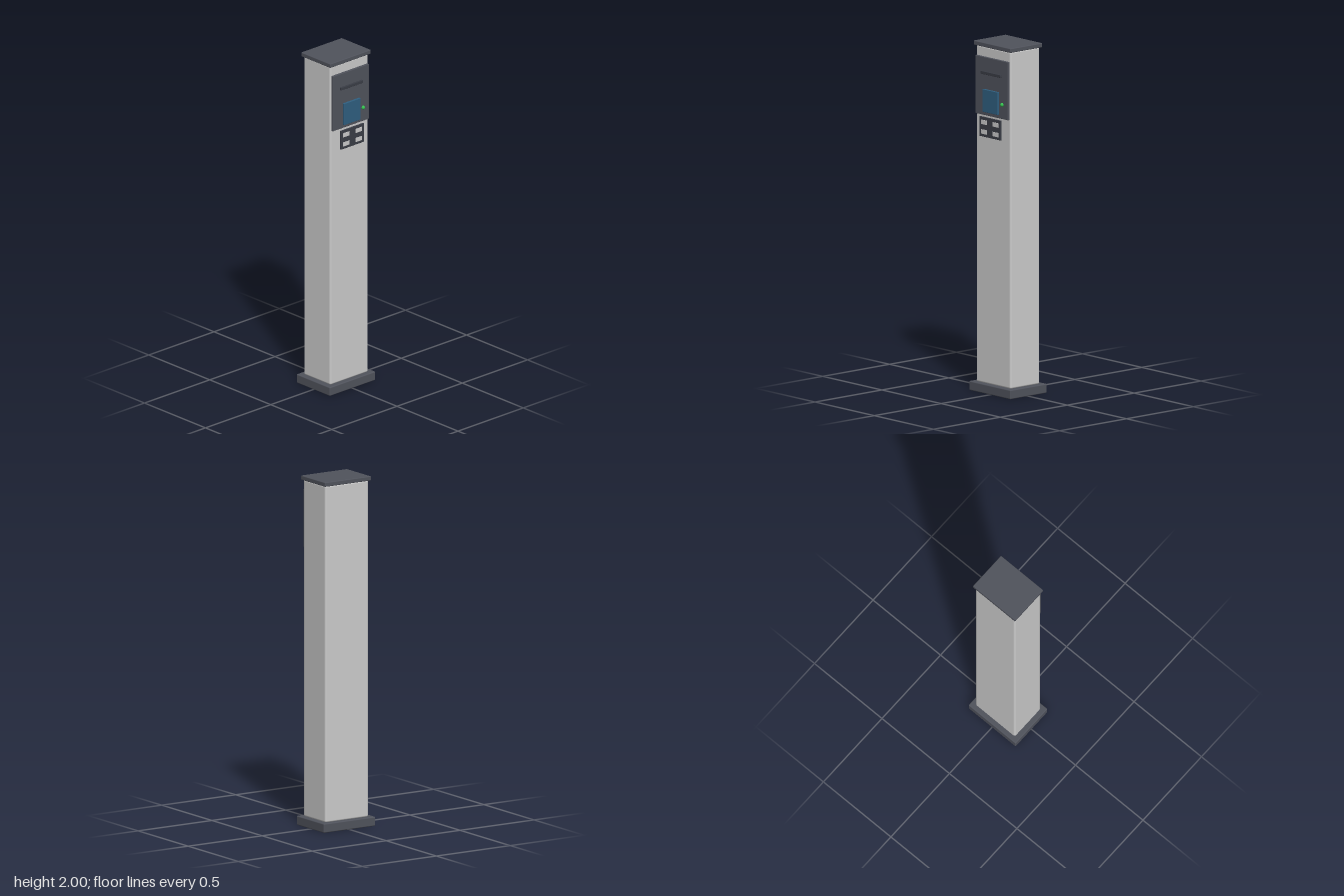
import * as THREE from 'three';
import { RoundedBoxGeometry } from 'three/addons/geometries/RoundedBoxGeometry.js';

const paint = (color) => new THREE.MeshStandardMaterial({ color });

export function createModel() {
  const group = new THREE.Group();
  const grey = paint(0xcccccc);
  const dark = paint(0x50535c);
  const darker = paint(0x3a3d46);
  const blue = paint(0x2f5f80);
  const green = paint(0x35c04f);

  // Rounded box given by its x centre and its y and z extents
  function block(name, material, width, [y0, y1], [z0, z1], radius, x = 0) {
    const geometry = new RoundedBoxGeometry(width, y1 - y0, z1 - z0, 3, radius);
    const mesh = new THREE.Mesh(geometry, material);
    mesh.name = name;
    mesh.position.set(x, (y0 + y1) / 2, (z0 + z1) / 2);
    group.add(mesh);
    return mesh;
  }

  // Post
  block('base', dark, 0.35, [0, 0.053], [-0.137, 0.137], 0.006);
  block('column', grey, 0.292, [0.05, 1.978], [-0.11, 0.11], 0.011);
  block('cap', dark, 0.312, [1.975, 2], [-0.12, 0.12], 0.004);

  // Front panel with slot and screen
  block('frontPanel', dark, 0.276, [1.588, 1.92], [0.108, 0.123], 0.003);
  block('slot', darker, 0.168, [1.823, 1.84], [0.118, 0.133], 0.002);
  block('screen', blue, 0.126, [1.608, 1.738], [0.12, 0.135], 0.002);

  // Indicator light
  const light = new THREE.Mesh(new THREE.SphereGeometry(0.011, 20, 14), green);
  light.name = 'indicatorLight';
  light.position.set(0.091, 1.67, 0.125);
  group.add(light);

  // Key plate standing off the column, with four flush keys
  block('keyPlate', darker, 0.177, [1.467, 1.58], [0.127, 0.136], 0.002);
  for (const x of [-0.048, 0.048]) {
    for (const y of [1.495, 1.55]) {
      block('key', grey, 0.048, [y - 0.013, y + 0.013], [0.129, 0.137], 0.001, x);
    }
  }

  return group;
}
